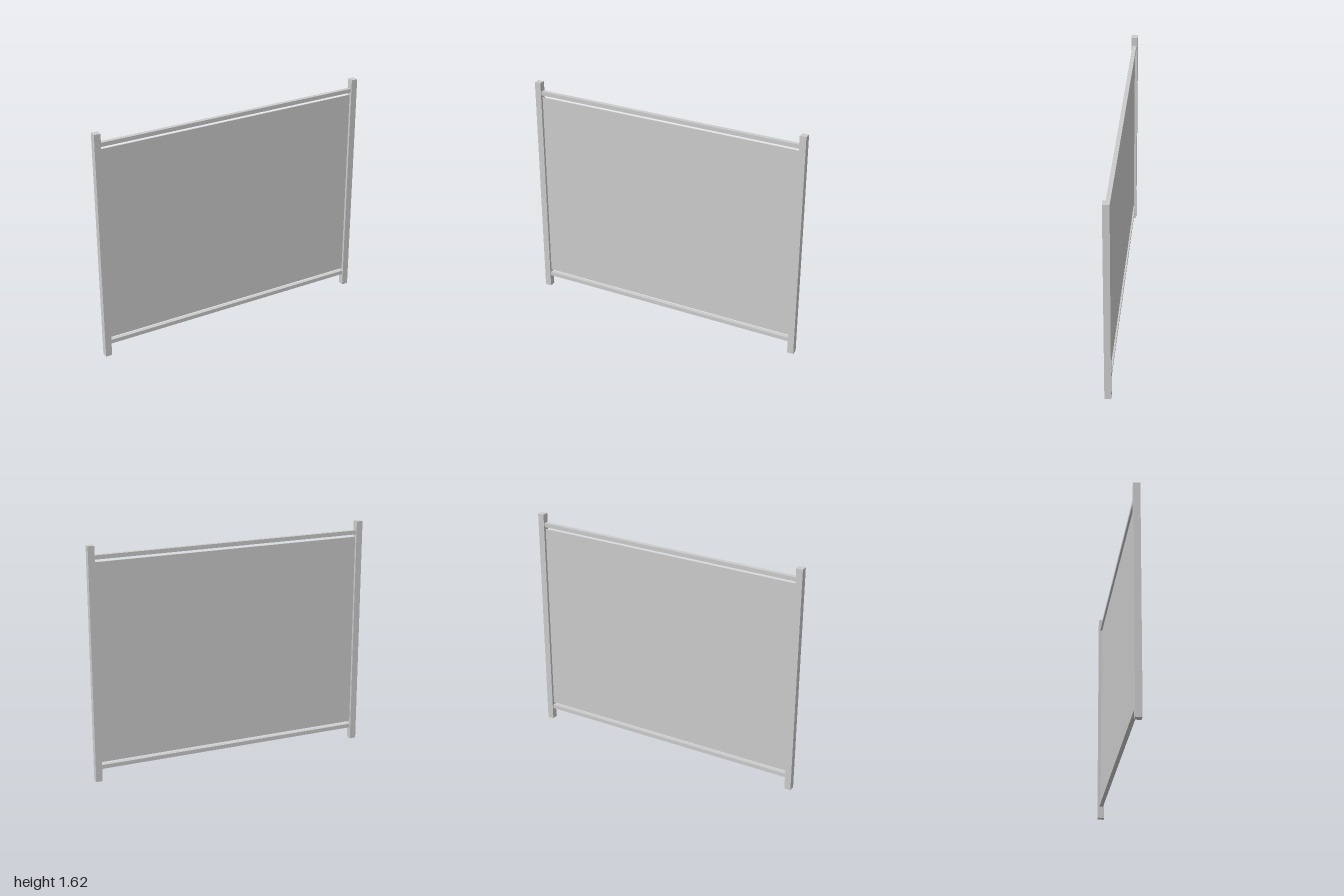
import * as THREE from 'three';

export function createModel() {
  const model = new THREE.Group();
  const material = new THREE.MeshStandardMaterial({ color: 0xcccccc, flatShading: true });

  // Box centred on z = 0, placed by its x centre and lower edge
  function addBox(name, width, height, depth, x, bottom) {
    const mesh = new THREE.Mesh(new THREE.BoxGeometry(width, height, depth), material);
    mesh.name = name;
    mesh.position.set(x, bottom + height / 2, 0);
    model.add(mesh);
  }

  const height = 1.625;
  const post = 0.045;
  const span = 2 - 2 * post;

  // Square end posts
  addBox('leftPost', post, height, post, 1 - post / 2, 0);
  addBox('rightPost', post, height, post, -1 + post / 2, 0);

  // Horizontal rails between the posts
  addBox('topRail', span, 0.028, 0.028, 0, 1.532);
  addBox('bottomRail', span, 0.028, 0.028, 0, 0.085);

  // Thin infill panel, with a narrow gap to each rail
  addBox('panel', span, 1.382, 0.008, 0, 0.131);

  return model;
}
